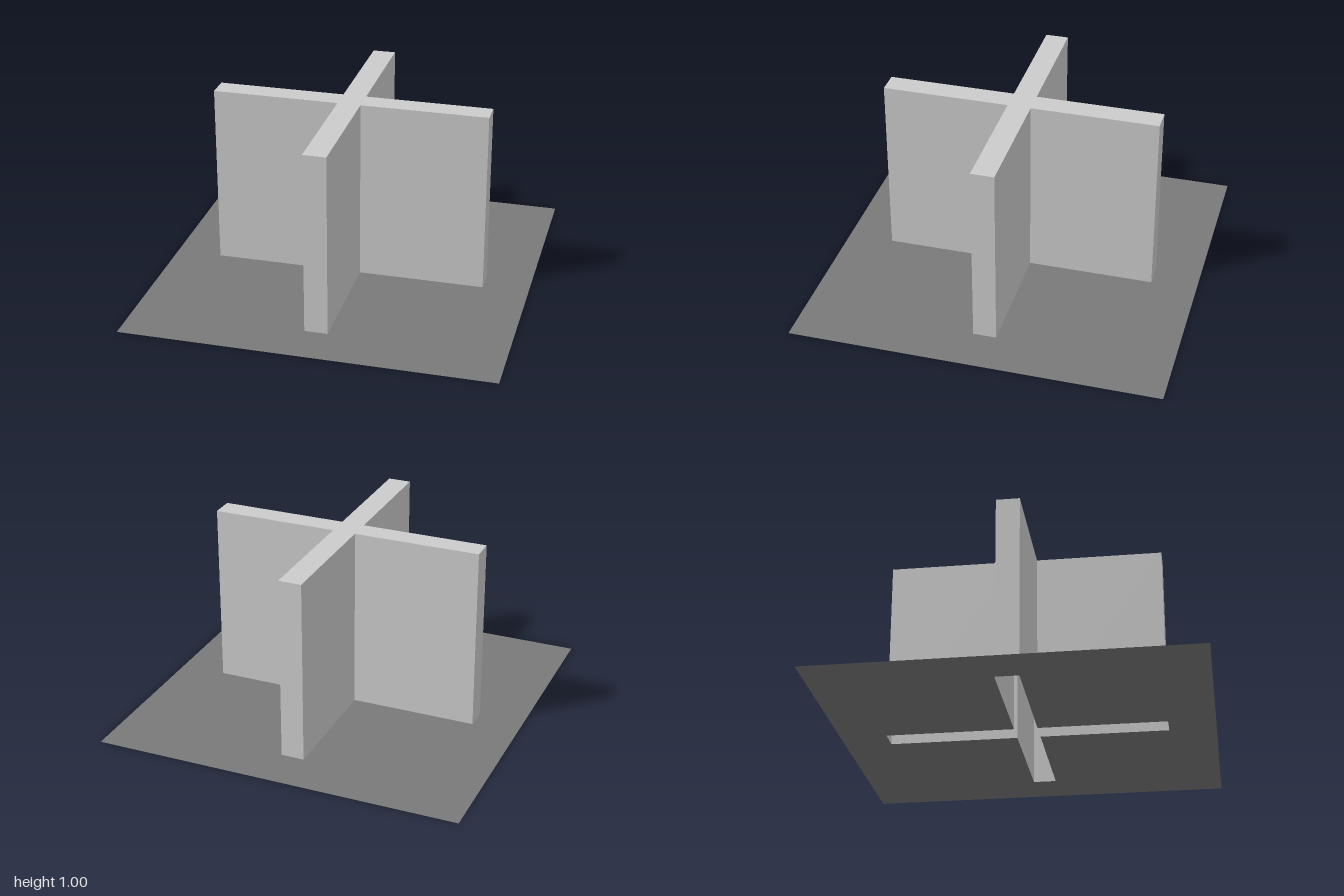
import * as THREE from 'three';

const ARM = 0.75, HALF = 0.0625, HEIGHT = 1;

// Counter-clockwise outline of the cross: one arm's three corners, turned four times
function crossPoints() {
  const points = [];
  for (let i = 0; i < 4; i++) {
    for (const [x, y] of [[ARM, -HALF], [ARM, HALF], [HALF, HALF]]) {
      points.push(new THREE.Vector2(x, y).rotateAround(new THREE.Vector2(), i * Math.PI / 2));
    }
  }
  return points;
}

export function createModel() {
  const model = new THREE.Group();
  const grey = new THREE.MeshStandardMaterial({ color: 0xcccccc, side: THREE.DoubleSide });
  const darkGrey = new THREE.MeshStandardMaterial({ color: 0x797979, side: THREE.DoubleSide });
  const outline = crossPoints();

  const add = (name, geometry, material, parent) => {
    const mesh = new THREE.Mesh(geometry, material);
    mesh.name = name;
    parent.add(mesh);
    return mesh;
  };

  // Thin square ground sheet with a cross-shaped opening
  const sheet = new THREE.Shape([[-1, -1], [1, -1], [1, 1], [-1, 1]].map(p => new THREE.Vector2(...p)));
  sheet.holes.push(new THREE.Path(outline.slice().reverse()));
  add('baseSheet', new THREE.ShapeGeometry(sheet).rotateX(-Math.PI / 2), darkGrey, model);

  // Hollow cross, closed on top and open below
  const cross = new THREE.Group();
  cross.name = 'crossBlock';
  model.add(cross);
  const top = new THREE.ShapeGeometry(new THREE.Shape(outline)).rotateX(-Math.PI / 2);
  add('crossTop', top.translate(0, HEIGHT, 0), grey, cross);

  // One wall for each edge of the outline, facing outward
  outline.forEach((a, i) => {
    const b = outline[(i + 1) % outline.length];
    const wall = add('crossWall', new THREE.PlaneGeometry(a.distanceTo(b), HEIGHT), grey, cross);
    wall.position.set((a.x + b.x) / 2, HEIGHT / 2, -(a.y + b.y) / 2);
    wall.rotation.y = Math.atan2(b.y - a.y, b.x - a.x);
  });

  return model;
}
